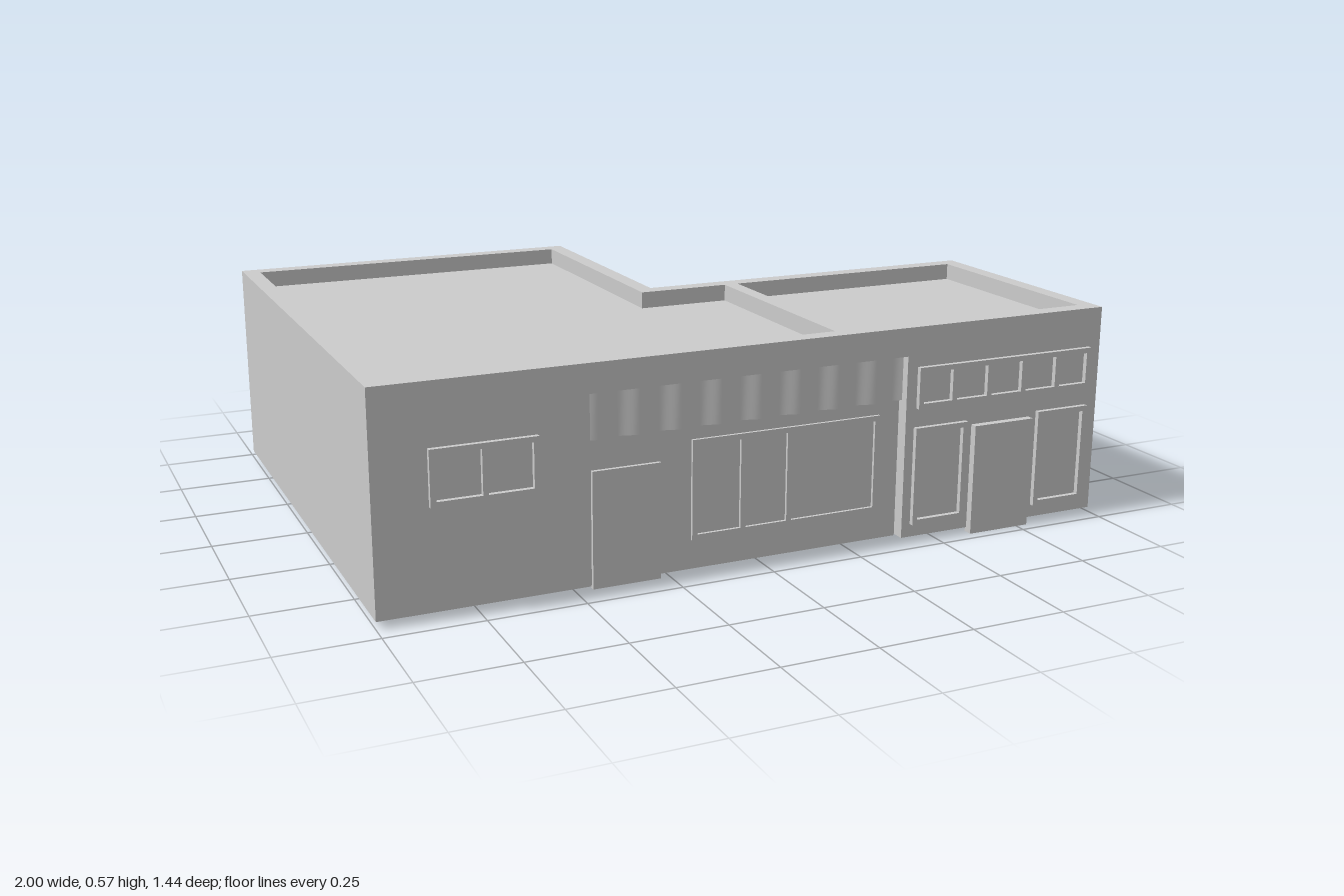
import * as THREE from 'three';

const material = new THREE.MeshStandardMaterial({ color: 0xcccccc });
const clothMaterial = new THREE.MeshStandardMaterial({ color: 0xcccccc, side: THREE.DoubleSide });

export function createModel() {
  const model = new THREE.Group();

  const add = (name, geometry, mat = material) => {
    const mesh = new THREE.Mesh(geometry, mat);
    mesh.name = name;
    model.add(mesh);
    return mesh;
  };

  // Box given by its extents on each axis
  const box = (name, x0, x1, y0, y1, z0, z1) => {
    const g = new THREE.BoxGeometry(x1 - x0, y1 - y0, z1 - z0);
    g.translate((x0 + x1) / 2, (y0 + y1) / 2, (z0 + z1) / 2);
    return add(name, g);
  };

  // Floor plan of [x, z] points raised from y0 to y1
  const plan = (name, points, y0, y1) => {
    const shape = new THREE.Shape(points.map(([x, z]) => new THREE.Vector2(x, -z)));
    const g = new THREE.ExtrudeGeometry(shape, { depth: y1 - y0, bevelEnabled: false });
    g.rotateX(-Math.PI / 2).translate(0, y0, 0);
    return add(name, g);
  };

  // Raised window frame; splits are the inner mullion positions
  const windowFrame = (name, x0, x1, y0, y1, z, depth, splits = [], border = 0.014) => {
    const rect = (Type, a, b, c, d) => new Type([
      new THREE.Vector2(a, c), new THREE.Vector2(b, c), new THREE.Vector2(b, d), new THREE.Vector2(a, d),
    ]);
    const shape = rect(THREE.Shape, x0, x1, y0, y1);
    const edges = [x0 + border / 2, ...splits, x1 - border / 2];
    for (let i = 0; i < edges.length - 1; i++) {
      shape.holes.push(rect(THREE.Path, edges[i] + border / 2, edges[i + 1] - border / 2, y0 + border, y1 - border));
    }
    const g = new THREE.ExtrudeGeometry(shape, { depth, bevelEnabled: false });
    g.translate(0, 0, z);
    return add(name, g);
  };

  const evenSplits = (x0, x1, n) =>
    Array.from({ length: n - 1 }, (_, i) => x0 + ((x1 - x0) * (i + 1)) / n);

  const base = 0.02, top = 0.575, front = 0.7, back = -0.72, wingBack = -0.01, t = 0.045;
  const shopLeft = -0.47, shopRight = 0.4, shopTop = 0.5;

  // Outer walls with parapet, open at the shop front
  plan('walls', [
    [shopLeft, front], [-1, front], [-1, back], [0, back], [0, wingBack], [1, wingBack],
    [1, front], [shopRight, front], [shopRight, front - t], [1 - t, front - t],
    [1 - t, wingBack + t], [-t, wingBack + t], [-t, back + t], [-1 + t, back + t],
    [-1 + t, front - t], [shopLeft, front - t],
  ], base, top);
  box('shopLintel', shopLeft, shopRight, shopTop, top, front - t, front);
  box('wingSill', shopRight, 1, 0.012, base, front - t, front);

  // Roof deck sunk below the parapet, and the wall dividing it
  plan('roof', [
    [-1 + t, front - t], [-1 + t, back + t], [-t, back + t], [-t, wingBack + t],
    [1 - t, wingBack + t], [1 - t, front - t],
  ], 0.51, 0.53);
  box('roofDivider', 0.21, 0.25, 0.23, top, wingBack + t, front - t);

  // Recessed shop front
  const shopZ = 0.665;
  box('shopPanel', shopLeft, shopRight, 0.008, shopTop, 0.62, shopZ);
  box('shopDoor', -0.455, -0.275, 0, 0.3, 0.65, shopZ + 0.01);
  windowFrame('shopWindow', -0.19, 0.34, 0.085, 0.345, shopZ, 0.008, [-0.05, 0.08]);

  // Rippled awning over the shop front
  const awningWidth = shopRight - shopLeft;
  const awning = new THREE.PlaneGeometry(awningWidth, 0.12, 96, 1);
  awning.translate((shopLeft + shopRight) / 2, 0.44, 0);
  const p = awning.attributes.position;
  for (let i = 0; i < p.count; i++) {
    const phase = ((p.getX(i) - shopLeft) / awningWidth) * Math.PI * 16;
    p.setZ(i, 0.678 + 0.005 * Math.sin(phase));
  }
  awning.computeVertexNormals();
  add('awning', awning, clothMaterial);

  // Windows and door on the outer face
  windowFrame('sideWindow', -0.865, -0.6, 0.278, 0.418, front, 0.013, [-0.7325]);
  windowFrame('transomWindow', 0.43, 0.965, 0.36, 0.47, front, 0.013, evenSplits(0.43, 0.965, 5));
  windowFrame('doorSideWindow', 0.425, 0.583, 0.047, 0.31, front, 0.013);
  windowFrame('doorSideWindow', 0.805, 0.963, 0.047, 0.31, front, 0.013);
  box('wingDoor', 0.602, 0.782, 0, 0.297, front - 0.005, 0.72);

  return model;
}
